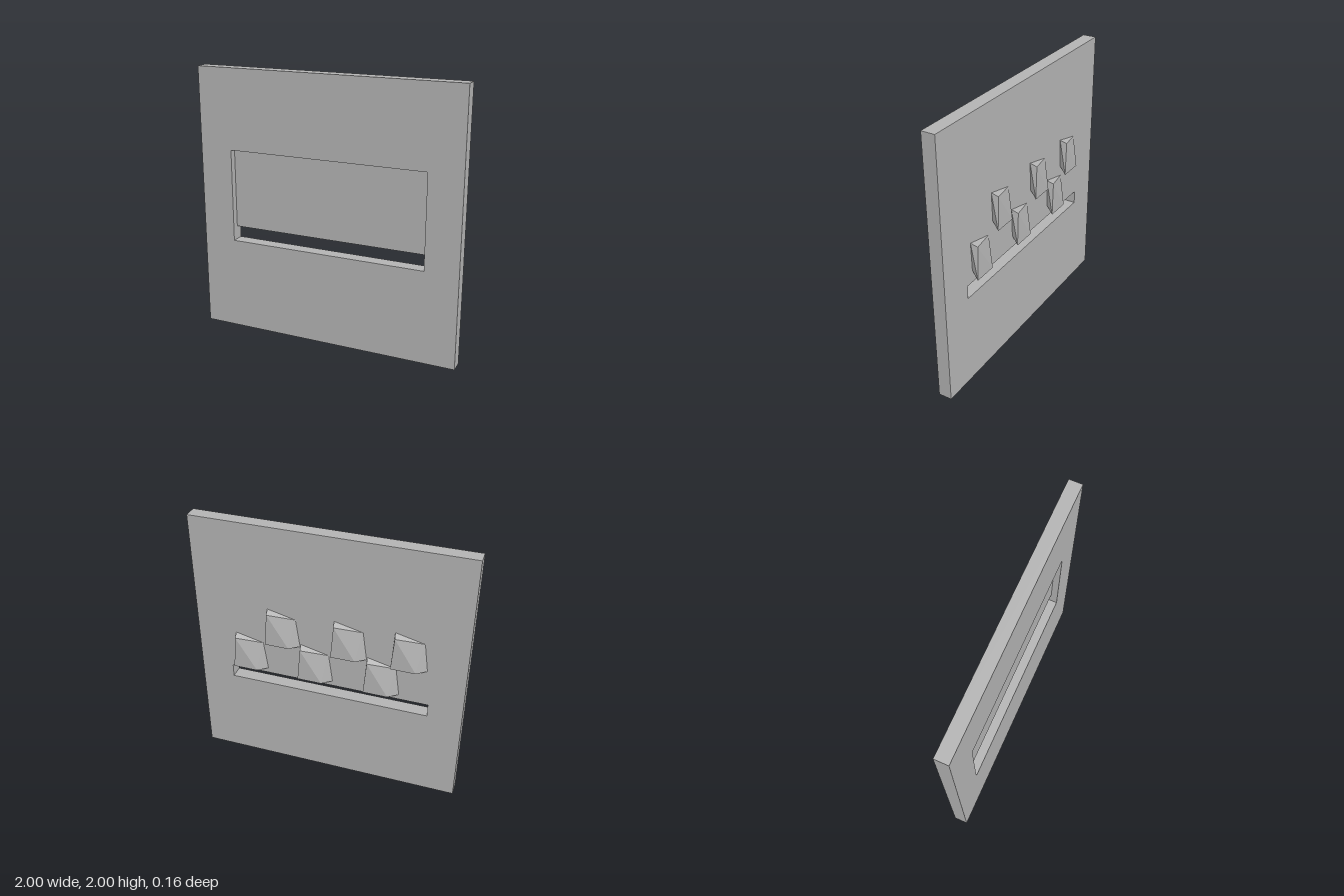
import * as THREE from 'three';

const BACK = -0.02, FRONT = 0.08, RECESS = 0.03;

// Rectangle from (x0, y0) to (x1, y1)
function rect(path, x0, y0, x1, y1) {
  path.moveTo(x0, y0);
  path.lineTo(x1, y0);
  path.lineTo(x1, y1);
  path.lineTo(x0, y1);
  path.closePath();
  return path;
}

// Faceted wedge: four corners on the wall, three standing out behind it
function toothGeometry() {
  const corners = [
    [-0.01, 0.27, 0],      // 0 wall, top left
    [-0.22, 0.22, 0],      // 1 wall, top right
    [-0.25, 0, 0],         // 2 wall, bottom right
    [-0.02, 0.05, 0],      // 3 wall, bottom left
    [-0.02, 0.25, -0.05],  // 4 outer top
    [0, 0, -0.055],        // 5 outer bottom left
    [-0.18, 0, -0.055],    // 6 outer bottom right
  ];
  const faces = [
    [0, 4, 1],             // top
    [4, 5, 6], [4, 6, 1],  // outer
    [1, 6, 2],             // slanted side
    [0, 3, 5], [0, 5, 4],  // steep side
    [3, 2, 6], [3, 6, 5],  // underside
  ];
  const center = new THREE.Vector3(-0.12, 0.13, -0.02);
  const points = [];
  for (const face of faces) {
    const [a, b, c] = face.map(i => new THREE.Vector3(...corners[i]));
    const normal = b.clone().sub(a).cross(c.clone().sub(a));
    const outward = normal.dot(a.clone().sub(center)) > 0;
    points.push(...(outward ? [a, b, c] : [a, c, b]));
  }
  const geometry = new THREE.BufferGeometry().setFromPoints(points);
  geometry.computeVertexNormals();
  return geometry;
}

export function createModel() {
  const group = new THREE.Group();
  const grey = new THREE.MeshStandardMaterial({ color: 0xb4b4b4 });
  grey.name = 'grey';

  // Square panel with a wide window
  const outline = rect(new THREE.Shape(), -1, 0, 1, 2);
  outline.holes.push(rect(new THREE.Path(), -0.75, 0.7, 0.75, 1.4));
  const panel = new THREE.Mesh(
    new THREE.ExtrudeGeometry(outline, { depth: FRONT - BACK, bevelEnabled: false }), grey);
  panel.position.z = BACK;
  panel.name = 'panel';
  group.add(panel);

  // Recessed plate that leaves an open slot below it
  const plate = new THREE.Mesh(new THREE.BoxGeometry(1.5, 0.6, RECESS - BACK), grey);
  plate.position.set(0, 1.1, (RECESS + BACK) / 2);
  plate.name = 'recessPlate';
  group.add(plate);

  // Two staggered rows of wedges on the back
  const teeth = new THREE.Group();
  teeth.name = 'backWedges';
  const geometry = toothGeometry();
  [0.71, 0.455, 0.21, -0.04, -0.285, -0.475].forEach((x, i) => {
    const tooth = new THREE.Mesh(geometry, grey);
    tooth.position.set(x, i % 2 ? 1.09 : 0.84, BACK);
    tooth.name = 'wedge' + (i + 1);
    teeth.add(tooth);
  });
  group.add(teeth);
  return group;
}
